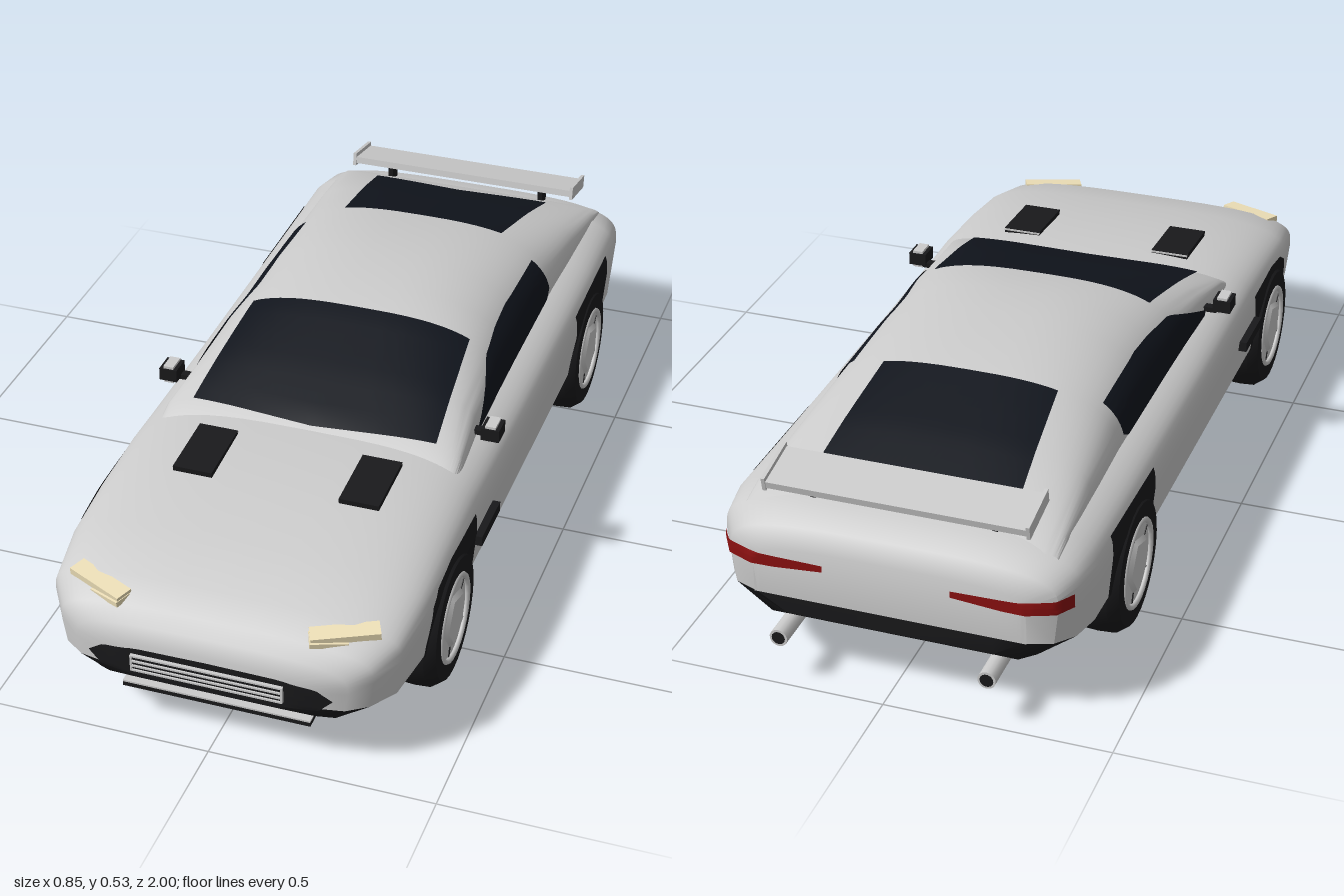
import * as THREE from 'three';
import { toCreasedNormals } from 'three/addons/utils/BufferGeometryUtils.js';

const material = (color) => new THREE.MeshStandardMaterial({ color, side: THREE.DoubleSide });
const grey = material(0xcccccc), black = material(0x19191b), glass = material(0x10141c);
const cream = material(0xeee0b8), red = material(0x8a1010);

// Skin a list of equal-length rows of [x, y, z] points.
function skin(rows, crease = 0.6) {
  const n = rows[0].length, index = [];
  for (let i = 0; i < rows.length - 1; i++) {
    for (let j = 0; j < n - 1; j++) {
      const a = i * n + j, c = a + n;
      index.push(a, c, a + 1, a + 1, c, c + 1);
    }
  }
  const g = new THREE.BufferGeometry();
  g.setAttribute('position', new THREE.Float32BufferAttribute(rows.flat(2), 3));
  g.setIndex(index);
  return toCreasedNormals(g, crease);
}

// Superellipse arch from +w over the top to -w.
function arch(w, base, top, n, z, steps = 32) {
  return Array.from({ length: steps + 1 }, (_, i) => {
    const t = (i / steps) * Math.PI, c = Math.cos(t), s = Math.max(0, Math.sin(t));
    return [w * Math.sign(c) * Math.abs(c) ** (2 / n), base + (top - base) * s ** (2 / n), z];
  });
}

// Body stations: z, half width, underside, crease, widest height, top
const BODY = [
  [0.988, 0.2, 0.15, 0.165, 0.195, 0.24], [0.97, 0.3, 0.135, 0.165, 0.21, 0.272],
  [0.94, 0.345, 0.115, 0.165, 0.23, 0.298], [0.88, 0.385, 0.1, 0.165, 0.25, 0.328],
  [0.75, 0.402, 0.1, 0.165, 0.265, 0.363], [0.6, 0.406, 0.1, 0.165, 0.27, 0.386],
  [0.42, 0.407, 0.1, 0.165, 0.27, 0.402], [0.3, 0.407, 0.1, 0.165, 0.27, 0.396],
  [0, 0.407, 0.1, 0.165, 0.27, 0.39], [-0.6, 0.407, 0.1, 0.165, 0.275, 0.39],
  [-0.8, 0.405, 0.1, 0.17, 0.28, 0.396], [-0.88, 0.392, 0.115, 0.18, 0.28, 0.382],
  [-0.93, 0.36, 0.13, 0.187, 0.27, 0.352], [-0.955, 0.3, 0.15, 0.19, 0.26, 0.312],
];
// Cabin stations: z, half width, top, squareness
const CABIN = [
  [0.39, 0.35, 0.375, 7], [0.34, 0.35, 0.41, 6], [0.2, 0.34, 0.458, 4], [0.02, 0.336, 0.512, 3],
  [-0.1, 0.335, 0.524, 2.6], [-0.22, 0.335, 0.53, 2.6], [-0.45, 0.335, 0.508, 2.8],
  [-0.65, 0.34, 0.455, 3.5], [-0.82, 0.345, 0.4, 5], [-0.88, 0.345, 0.37, 5],
];

// Close both ends of a loft by flattening the end sections to their crease height.
function closed(rows) {
  const flat = (row, k) => row.map(([x, , z]) => [x, BODY[k][3], z]);
  return [flat(rows[0], 0), ...rows, flat(rows.at(-1), BODY.length - 1)];
}

function polyline(points, t) {
  const f = t * (points.length - 1), i = Math.min(Math.floor(f), points.length - 2), k = f - i;
  return points[i].map((v, d) => v + (points[i + 1][d] - v) * k);
}

export function createModel() {
  const car = new THREE.Group();
  car.name = 'car';
  const add = (name, geometry, mat, pos = [0, 0, 0], rot = [0, 0, 0], parent = car) => {
    const m = new THREE.Mesh(geometry, mat);
    m.name = name;
    m.position.set(...pos);
    m.rotation.set(...rot);
    parent.add(m);
    return m;
  };
  const box = (name, size, mat, pos, rot, parent) =>
    add(name, new THREE.BoxGeometry(...size), mat, pos, rot, parent);

  // Body shell, dark lower tub and cabin
  const shell = add('bodyShell', skin(closed(BODY.map(([z, w, , c, m, t]) =>
    [[w * 0.975, c, z], ...arch(w, m, t, 3.5, z), [-w * 0.975, c, z]]))), grey);
  const tub = add('lowerTub', skin(closed(BODY.map(([z, w, b, c]) => {
    const e = w * 0.975, f = w * 0.76;
    return [[-e, c, z], [-f, b, z], [0, b, z], [f, b, z], [e, c, z]];
  }))), black);
  const cabin = add('cabin', skin(CABIN.map(([z, w, t, n]) => arch(w, 0.345, t, n, z))), grey);

  // Panel draped on the body: a grid between two outlines, projected along one axis
  const caster = new THREE.Raycaster();
  function panel(name, axis, side, lower, upper, mat, lift = 0.004) {
    const nu = 32, nv = 12, rows = [];
    let last = null;
    const dir = new THREE.Vector3();
    dir[axis] = -side;
    for (let v = 0; v <= nv; v++) {
      const row = [];
      for (let u = 0; u <= nu; u++) {
        const a = polyline(lower, u / nu), b = polyline(upper, u / nu);
        const p = a.map((q, d) => q + (b[d] - q) * (v / nv));
        const from = axis === 'x' ? [side * 2, p[1], p[0]] : axis === 'y' ? [p[0], 2, p[1]] : [p[0], p[1], side * 2];
        caster.set(new THREE.Vector3(...from), dir);
        const hit = caster.intersectObjects([shell, tub, cabin])[0];
        if (hit) last = hit.point.addScaledVector(dir, -lift).toArray();
        row.push(last ?? from.map((q) => q * 0.5));
      }
      rows.push(row);
    }
    add(name, skin(rows, 1), mat);
  }

  // Glass
  panel('windscreen', 'y', 1, [[-0.285, 0.335], [0, 0.35], [0.285, 0.335]], [[-0.262, 0.01], [0.262, 0.01]], glass, 0.005);
  panel('rearWindow', 'y', 1, [[-0.225, -0.79], [0, -0.765], [0.225, -0.79]], [[-0.2, -0.46], [0.2, -0.46]], glass, 0.005);

  // Mouth and grille
  panel('mouth', 'z', 1, [[-0.27, 0.19], [-0.24, 0.162], [0, 0.16], [0.24, 0.162], [0.27, 0.19]],
    [[-0.27, 0.19], [-0.235, 0.216], [-0.16, 0.228], [0, 0.23], [0.16, 0.228], [0.235, 0.216], [0.27, 0.19]], black);
  box('grilleBack', [0.33, 0.036, 0.012], black, [0, 0.193, 0.99]);
  for (const y of [0.176, 0.187, 0.199, 0.212]) box('grilleBar', [0.335, 0.004, 0.014], grey, [0, y, 0.993]);
  for (const x of [-0.166, 0.166]) box('grilleEnd', [0.004, 0.04, 0.014], grey, [x, 0.194, 0.993]);

  // Front splitter
  box('splitter', [0.42, 0.01, 0.12], black, [0, 0.09, 0.89]);
  box('splitterTop', [0.42, 0.004, 0.12], grey, [0, 0.097, 0.89]);

  // Rear wing
  box('rearWing', [0.58, 0.016, 0.115], grey, [0, 0.434, -0.85], [-0.2, 0, 0]);

  for (const s of [1, -1]) {
    panel('sideWindow', 'x', s, [[0.2, 0.372], [-0.1, 0.372], [-0.39, 0.374], [-0.42, 0.39]],
      [[0.2, 0.385], [0.02, 0.455], [-0.2, 0.468], [-0.42, 0.46]], glass);
    panel('frontArch', 'x', s, [[0.76, 0.165], [0.43, 0.165]],
      [[0.73, 0.28], [0.69, 0.304], [0.6, 0.318], [0.43, 0.318]], black, 0.003);
    panel('rearArch', 'x', s, [[-0.42, 0.165], [-0.72, 0.17]], [[-0.42, 0.322], [-0.72, 0.328]], black, 0.003);
    panel('tailLight', 'z', -1, [[s * 0.14, 0.275], [s * 0.25, 0.266], [s * 0.385, 0.264]],
      [[s * 0.14, 0.29], [s * 0.25, 0.292], [s * 0.385, 0.296]], red, 0.01);

    // Headlights
    box('headlight', [0.145, 0.016, 0.04], cream, [s * 0.27, 0.309, 0.9], [0.1, s * 0.42, 0]);
    box('headlightLower', [0.08, 0.012, 0.04], cream, [s * 0.24, 0.298, 0.918], [0.1, s * 0.42, s * -0.1]);

    // Bonnet and side vents
    box('bonnetVent', [0.09, 0.012, 0.16], black, [s * 0.19, 0.398, 0.5], [0.06, 0, 0]);
    box('bonnetVentEdge', [0.09, 0.004, 0.008], grey, [s * 0.19, 0.405, 0.422]);
    box('sideVent', [0.025, 0.024, 0.14], black, [s * 0.411, 0.25, 0.365]);

    // Door mirrors
    box('mirrorArm', [0.06, 0.012, 0.02], black, [s * 0.345, 0.385, 0.215]);
    box('mirrorHousing', [0.042, 0.03, 0.05], black, [s * 0.382, 0.4, 0.225]);
    box('mirrorCap', [0.024, 0.042, 0.044], grey, [s * 0.382, 0.4, 0.225]);

    // Wing end plate and support
    box('wingEnd', [0.008, 0.032, 0.12], grey, [s * 0.288, 0.436, -0.85], [-0.2, 0, 0]);
    box('wingSupport', [0.012, 0.06, 0.04], black, [s * 0.2, 0.4, -0.84]);

    // Exhaust
    add('exhaust', new THREE.CylinderGeometry(0.02, 0.02, 0.12, 14), grey, [s * 0.23, 0.115, -0.94], [Math.PI / 2, 0, 0]);
    add('exhaustBore', new THREE.CircleGeometry(0.015, 14), black, [s * 0.23, 0.115, -1.0005], [0, Math.PI, 0]);

    // Wheels: the outer face points along the wheel's own +x
    for (const [name, z] of [['frontWheel', 0.595], ['rearWheel', -0.55]]) {
      const wheel = new THREE.Group();
      wheel.name = name;
      wheel.position.set(s * 0.355, 0.157, z);
      wheel.rotation.y = s > 0 ? 0 : Math.PI;
      car.add(wheel);
      const profile = [[0, -0.04], [0.09, -0.058], [0.135, -0.058], [0.155, -0.035], [0.157, 0], [0.155, 0.035], [0.138, 0.058], [0.1, 0.058], [0.09, 0.04]];
      const turn = [0, 0, -Math.PI / 2];
      add('tyre', toCreasedNormals(new THREE.LatheGeometry(profile.map((p) => new THREE.Vector2(...p)), 28), 0.6), black, [0, 0, 0], turn, wheel);
      add('rim', new THREE.CylinderGeometry(0.095, 0.095, 0.01, 28), grey, [0.048, 0, 0], turn, wheel);
      add('rimRing', new THREE.TorusGeometry(0.097, 0.007, 6, 28), grey, [0.056, 0, 0], [0, Math.PI / 2, 0], wheel);
      add('rimStar', new THREE.CylinderGeometry(0.058, 0.07, 0.01, 5), grey, [0.057, 0, 0], turn, wheel);
      for (let i = 0; i < 5; i++) {
        const a = (i / 5) * Math.PI * 2;
        box('rimSlot', [0.004, 0.026, 0.005], black, [0.053, Math.sin(a) * 0.08, Math.cos(a) * 0.08], [Math.PI / 2 - a, 0, 0], wheel);
      }
    }
  }
  return car;
}
